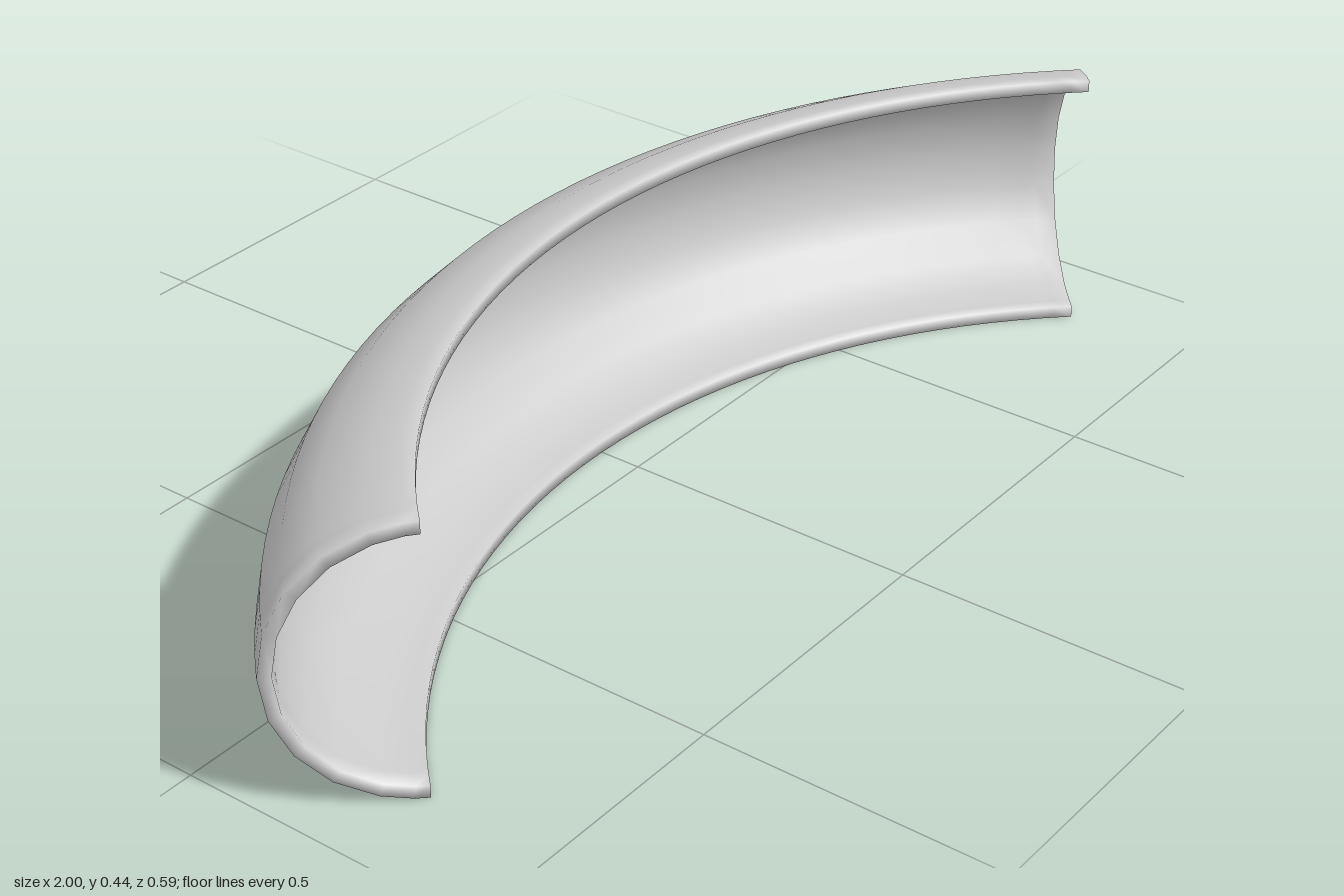
import * as THREE from 'three';

// Half-pipe shell swept along a horizontal arc
const ARC_RADIUS = 1.367, HALF_ANGLE = THREE.MathUtils.degToRad(47), CENTRE_Z = 1.073;
const PIPE_RADIUS = 0.222, WALL = 0.02, SIDES = 10, STEPS = 40;

// Evenly spaced stops, with one extra close to each end for a tight soft rim
function stops(half, count, inset) {
  const list = [];
  for (let i = 0; i <= count; i++) list.push(-half + (2 * half * i) / count);
  list.splice(1, 0, -half + inset);
  list.splice(list.length - 1, 0, half - inset);
  return list;
}

// C-shaped cross-section: outer wall upwards, inner wall back down
function crossSection() {
  const angles = stops(Math.PI / 2, SIDES, 0.1);
  const ring = (radius) => angles.map((a) => [
    ARC_RADIUS - PIPE_RADIUS + radius * Math.cos(a),
    PIPE_RADIUS + radius * Math.sin(a),
  ]);
  return [...ring(PIPE_RADIUS), ...ring(PIPE_RADIUS - WALL).reverse()];
}

function shellGeometry() {
  const section = crossSection(), n = section.length;
  const sweep = stops(HALF_ANGLE, STEPS, 0.025);
  const positions = [], index = [];
  const quad = (a, b, c, d) => index.push(a, b, c, a, c, d);

  for (const phi of sweep) {
    for (const [r, y] of section) {
      positions.push(r * Math.sin(phi), y, CENTRE_Z - r * Math.cos(phi));
    }
  }
  // Walls and lips
  for (let i = 0; i < sweep.length - 1; i++) {
    for (let j = 0; j < n; j++) {
      const k = (j + 1) % n, a = i * n, b = a + n;
      quad(a + j, a + k, b + k, b + j);
    }
  }
  // End rims
  const last = (sweep.length - 1) * n;
  for (let k = 0; k < n / 2 - 1; k++) {
    quad(n - 1 - k, n - 2 - k, k + 1, k);
    quad(last + k, last + k + 1, last + n - 2 - k, last + n - 1 - k);
  }

  const geometry = new THREE.BufferGeometry();
  geometry.setAttribute('position', new THREE.Float32BufferAttribute(positions, 3));
  geometry.setIndex(index);
  geometry.computeVertexNormals();
  return geometry;
}

export function createModel() {
  const group = new THREE.Group();
  group.name = 'curvedHalfPipe';
  const shell = new THREE.Mesh(shellGeometry(), new THREE.MeshStandardMaterial({ color: 0xcccccc }));
  shell.name = 'shell';
  group.add(shell);
  return group;
}
